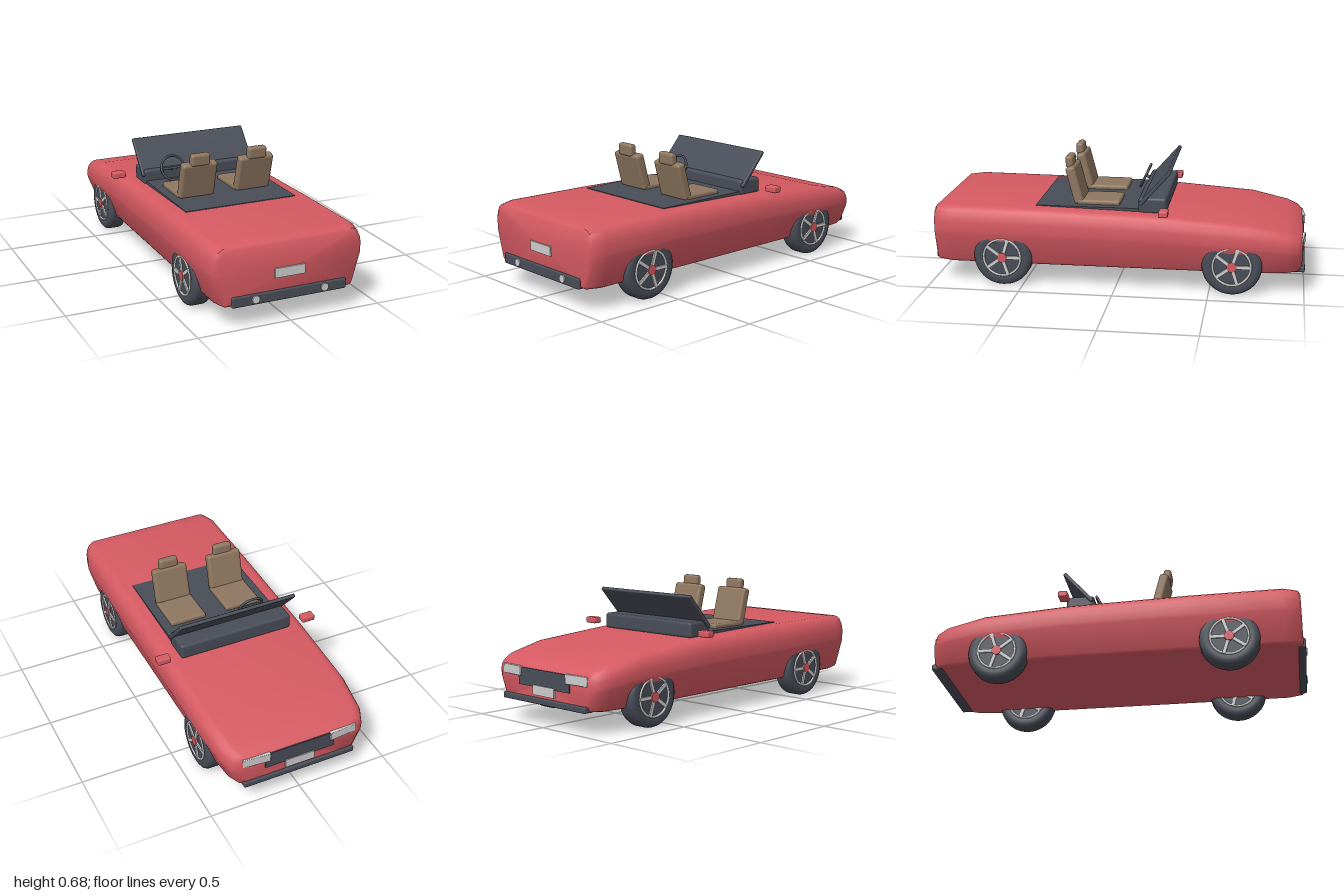
import * as THREE from 'three';
import { toCreasedNormals } from 'three/addons/utils/BufferGeometryUtils.js';
import { RoundedBoxGeometry } from 'three/addons/geometries/RoundedBoxGeometry.js';

const mat = (name, color) => Object.assign(new THREE.MeshStandardMaterial({ color }), { name });

export function createModel() {
  const red = mat('red paint', 0xd65a62);
  const dark = mat('dark trim', 0x484d57);
  const tan = mat('tan leather', 0x8f7760);
  const light = mat('light metal', 0xcdcdcd);
  const car = new THREE.Group();
  car.name = 'convertible';

  const add = (name, geometry, material, x, y, z, parent = car) => {
    const mesh = new THREE.Mesh(geometry, material);
    mesh.name = name;
    mesh.position.set(x, y, z);
    parent.add(mesh);
    return mesh;
  };
  const rbox = (w, h, d, r) => new RoundedBoxGeometry(w, h, d, 3, r);

  // Body: one cross-section scaled along the length
  add('body', bodyGeometry(), red, 0, 0, 0);

  // Cockpit
  add('cockpitFloor', new THREE.BoxGeometry(0.635, 0.022, 0.56), dark, 0, 0.421, 0.155);
  add('dashboard', rbox(0.65, 0.085, 0.15, 0.015), dark, 0, 0.45, -0.192);
  add('windshield', rbox(0.675, 0.235, 0.02, 0.006), dark, 0, 0.545, -0.203).rotation.x = -0.725;

  const steering = new THREE.Group();
  steering.name = 'steeringWheel';
  steering.position.set(-0.165, 0.495, -0.1);
  steering.rotation.x = -0.43;
  car.add(steering);
  add('steeringRim', new THREE.TorusGeometry(0.068, 0.007, 8, 32), dark, 0, 0, 0, steering);
  add('steeringBar', new THREE.BoxGeometry(0.13, 0.012, 0.008), dark, 0, 0, 0, steering);
  add('steeringColumn', new THREE.CylinderGeometry(0.009, 0.009, 0.08, 12), dark, 0, 0, -0.04, steering)
    .rotation.x = Math.PI / 2;

  for (const s of [-1, 1]) {
    // Seats
    const seat = new THREE.Group();
    seat.name = s > 0 ? 'leftSeat' : 'rightSeat';
    seat.position.x = s * 0.165;
    car.add(seat);
    add('cushion', rbox(0.205, 0.04, 0.23, 0.012), tan, 0, 0.435, 0.105, seat);
    add('backrest', rbox(0.2, 0.205, 0.052, 0.015), tan, 0, 0.53, 0.235, seat).rotation.x = 0.26;
    add('headrest', rbox(0.108, 0.066, 0.042, 0.014), tan, 0, 0.647, 0.27, seat).rotation.x = 0.06;

    // Mirrors, headlights and exhausts
    add('mirror', rbox(0.074, 0.034, 0.05, 0.008), red, s * 0.429, 0.443, -0.262);
    add('headlight', rbox(0.15, 0.05, 0.03, 0.004), light, s * 0.245, 0.27, -0.979).rotation.y = -s * 0.09;
    add('exhaust', new THREE.CylinderGeometry(0.02, 0.02, 0.03, 24), light, s * 0.19, 0.145, 0.985)
      .rotation.x = Math.PI / 2;

    // Wheels
    for (const z of [0.605, -0.62]) {
      const wheel = makeWheel(add, red, dark, light);
      wheel.position.set(s * 0.36, 0.16, z);
      car.add(wheel);
    }
  }

  // Tail and nose details
  add('rearPlate', new THREE.BoxGeometry(0.166, 0.05, 0.009), light, 0, 0.26, 0.984);
  add('rearBumper', rbox(0.63, 0.055, 0.04, 0.008), dark, 0, 0.143, 0.973);
  add('grille', new THREE.BoxGeometry(0.39, 0.09, 0.012), dark, 0, 0.245, -0.985);
  add('frontPlate', new THREE.BoxGeometry(0.164, 0.05, 0.009), light, 0, 0.185, -0.991);
  add('frontBumper', rbox(0.63, 0.032, 0.06, 0.008), dark, 0, 0.131, -0.97);
  return car;
}

function bodyGeometry() {
  // Half outline: width factor, height factor
  const half = [[0.85, 0], [0.875, 0.015], [0.892, 0.05], [0.995, 0.53], [1, 0.58], [1, 0.74],
    [0.985, 0.84], [0.95, 0.935], [0.9, 0.985], [0.85, 1]];
  const outline = [...half, ...half.map(([x, y]) => [-x, y]).reverse()];
  // Sections: z, half width, bottom, top
  const sections = [[0.98, 0.385, 0.13, 0.41], [0.968, 0.403, 0.12, 0.424], [0.89, 0.423, 0.115, 0.432],
    [0.4, 0.423, 0.115, 0.428], [-0.25, 0.422, 0.115, 0.412], [-0.7, 0.42, 0.115, 0.38],
    [-0.9, 0.4, 0.117, 0.338], [-0.962, 0.372, 0.122, 0.314], [-0.985, 0.335, 0.13, 0.292]];
  const n = outline.length, pos = [], index = [];
  for (const [z, w, yb, yt] of sections)
    for (const [x, y] of outline) pos.push(x * w, yb + y * (yt - yb), z);
  for (let k = 0; k < sections.length - 1; k++)
    for (let i = 0; i < n; i++) {
      const j = (i + 1) % n, a = k * n + i, b = k * n + j;
      index.push(a, a + n, b + n, a, b + n, b);
    }
  // End caps
  const tail = pos.length / 3, nose = tail + 1, last = (sections.length - 1) * n;
  pos.push(0, 0.27, 0.98, 0, 0.22, -0.985);
  for (let i = 0; i < n; i++) {
    const j = (i + 1) % n;
    index.push(tail, i, j, nose, last + j, last + i);
  }
  const g = new THREE.BufferGeometry();
  g.setAttribute('position', new THREE.Float32BufferAttribute(pos, 3));
  g.setIndex(index);
  return toCreasedNormals(g, 0.8);
}

function makeWheel(add, red, dark, light) {
  const wheel = new THREE.Group();
  wheel.name = 'wheel';
  const side = [[0.1, 0.05], [0.122, 0.054], [0.14, 0.051], [0.153, 0.042], [0.158, 0.028]];
  const profile = [...side.map(([r, h]) => [r, -h]), ...side.slice().reverse()]
    .map(([r, h]) => new THREE.Vector2(r, h));
  add('tyre', new THREE.LatheGeometry(profile, 48), dark, 0, 0, 0, wheel).rotation.z = Math.PI / 2;
  add('rimDisc', new THREE.CylinderGeometry(0.103, 0.103, 0.1, 40), dark, 0, 0, 0, wheel)
    .rotation.z = Math.PI / 2;
  add('hub', new THREE.CylinderGeometry(0.026, 0.026, 0.122, 20), red, 0, 0, 0, wheel)
    .rotation.z = Math.PI / 2;
  for (const s of [-1, 1])
    add('rimRing', new THREE.TorusGeometry(0.1, 0.006, 8, 40), light, s * 0.052, 0, 0, wheel)
      .rotation.y = Math.PI / 2;
  for (let i = 0; i < 5; i++) {
    const a = (i / 5) * Math.PI * 2;
    add('spoke', new THREE.BoxGeometry(0.116, 0.018, 0.085), light,
      0, Math.sin(a) * 0.06, -Math.cos(a) * 0.06, wheel).rotation.x = a;
  }
  return wheel;
}
